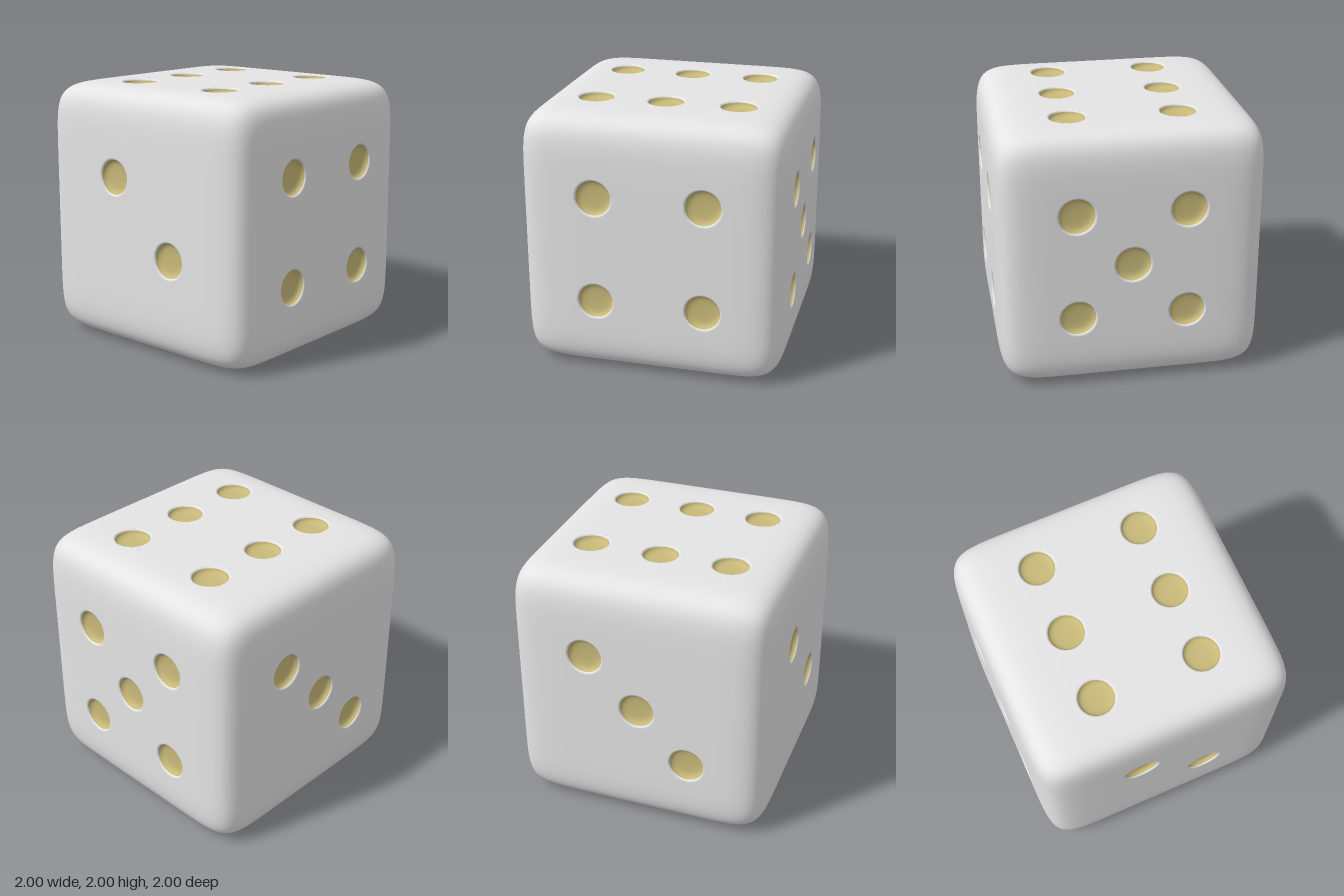
import * as THREE from 'three';

const POWER = 10;        // squareness of the rounded cube
const PIP_RADIUS = 0.133;
const LIP_RADIUS = 0.148;
const PATCH = 0.18;      // half width of the square left free around each pip
const SEGMENTS = 48;

// Each face is built facing +y, then turned into place: rotation and pip centres [x, z]
const H = Math.PI / 2;
const FACES = [
  { name: 'top', rot: [0, 0, 0], pips: [[-0.4, -0.55], [-0.4, 0], [-0.4, 0.54], [0.42, -0.55], [0.42, 0], [0.42, 0.54]] },
  { name: 'bottom', rot: [Math.PI, 0, 0], pips: [[-0.01, -0.02]] },
  { name: 'front', rot: [H, 0, 0], pips: [[-0.24, -0.33], [0.31, 0.22]] },
  { name: 'back', rot: [-H, 0, 0], pips: [[-0.4, 0.4], [0.42, 0.4], [0.01, -0.01], [-0.4, -0.42], [0.42, -0.42]] },
  { name: 'left', rot: [0, 0, -H], pips: [[-0.4, 0.4], [-0.4, -0.42], [0.42, 0.4], [0.42, -0.42]] },
  { name: 'right', rot: [0, 0, H], pips: [[0.38, -0.38], [-0.01, 0.02], [-0.41, 0.41]] },
];

// Project a point of the flat cube face onto the rounded cube
function onBody([x, z]) {
  const s = (Math.abs(x) ** POWER + 1 + Math.abs(z) ** POWER) ** (-1 / POWER);
  return new THREE.Vector3(x * s, s, z * s);
}

// Exact surface normal at a point of the rounded cube
function normalAt(p) {
  const f = (c) => Math.sign(c) * Math.abs(c) ** (POWER - 1);
  return new THREE.Vector3(f(p.x), f(p.y), f(p.z)).normalize();
}

// One curved face with round openings for its pips
function faceGeometry(pips) {
  const positions = [], normals = [];
  const quad = (a, b, c, d) => {
    for (const q of [a, b, c, a, c, d]) {
      const p = onBody(q);
      positions.push(...p.toArray());
      normals.push(...normalAt(p).toArray());
    }
  };

  // Grid lines: denser towards the edges, plus the borders of the pip squares
  const lines = (axis) => {
    const values = [];
    for (let i = 0; i <= 40; i++) values.push(Math.sin(H * (i / 20 - 1)));
    for (const pip of pips) values.push(pip[axis] - PATCH, pip[axis] + PATCH);
    return values.sort((a, b) => a - b).filter((v, i, all) => i === 0 || v - all[i - 1] > 1e-6);
  };
  const xs = lines(0), zs = lines(1);
  for (let i = 0; i < xs.length - 1; i++) {
    for (let j = 0; j < zs.length - 1; j++) {
      const [x0, x1, z0, z1] = [xs[i], xs[i + 1], zs[j], zs[j + 1]];
      const inPip = pips.some(([px, pz]) =>
        Math.abs((x0 + x1) / 2 - px) < PATCH && Math.abs((z0 + z1) / 2 - pz) < PATCH);
      if (!inPip) quad([x0, z0], [x0, z1], [x1, z1], [x1, z0]);
    }
  }

  // Square-to-circle patch around each pip
  for (const [px, pz] of pips) {
    const at = (i, square) => {
      const a = (i / SEGMENTS) * Math.PI * 2, c = Math.cos(a), s = Math.sin(a);
      const r = square ? PATCH / Math.max(Math.abs(c), Math.abs(s)) : LIP_RADIUS;
      return [px + c * r, pz + s * r];
    };
    for (let i = 0; i < SEGMENTS; i++) {
      quad(at(i, true), at(i, false), at(i + 1, false), at(i + 1, true));
    }
  }

  const geometry = new THREE.BufferGeometry();
  geometry.setAttribute('position', new THREE.Float32BufferAttribute(positions, 3));
  geometry.setAttribute('normal', new THREE.Float32BufferAttribute(normals, 3));
  return geometry;
}

const lathe = (points) =>
  new THREE.LatheGeometry(points.map(([r, y]) => new THREE.Vector2(r, y)), SEGMENTS);

export function createModel() {
  const bodyGrey = new THREE.MeshStandardMaterial({ color: 0xe4e4e4 });
  bodyGrey.name = 'body grey';
  const pipGold = new THREE.MeshStandardMaterial({ color: 0xc8b979 });
  pipGold.name = 'pip gold';

  // Softly rounded lip and sunken bowl, shared by all pips
  const lip = lathe([[LIP_RADIUS, 0], [0.142, -0.001], [0.136, -0.005], [PIP_RADIUS, -0.012]]);
  const bowl = lathe([[PIP_RADIUS, -0.012], [0.129, -0.024], [0.121, -0.034], [0.108, -0.042],
    [0.088, -0.047], [0.05, -0.05], [0, -0.05]]);

  const model = new THREE.Group();
  model.name = 'die';
  for (const { name, rot, pips } of FACES) {
    const face = new THREE.Group();
    face.name = `${name}Face`;
    face.position.y = 1;
    face.rotation.set(...rot);

    const shell = new THREE.Mesh(faceGeometry(pips), bodyGrey);
    shell.name = `${name}Shell`;
    face.add(shell);

    for (const pip of pips) {
      const { x, y, z } = onBody(pip);
      for (const [part, geometry, material] of [['pipLip', lip, bodyGrey], ['pipBowl', bowl, pipGold]]) {
        const mesh = new THREE.Mesh(geometry, material);
        mesh.name = part;
        mesh.position.set(x, y, z);
        face.add(mesh);
      }
    }
    model.add(face);
  }
  return model;
}
